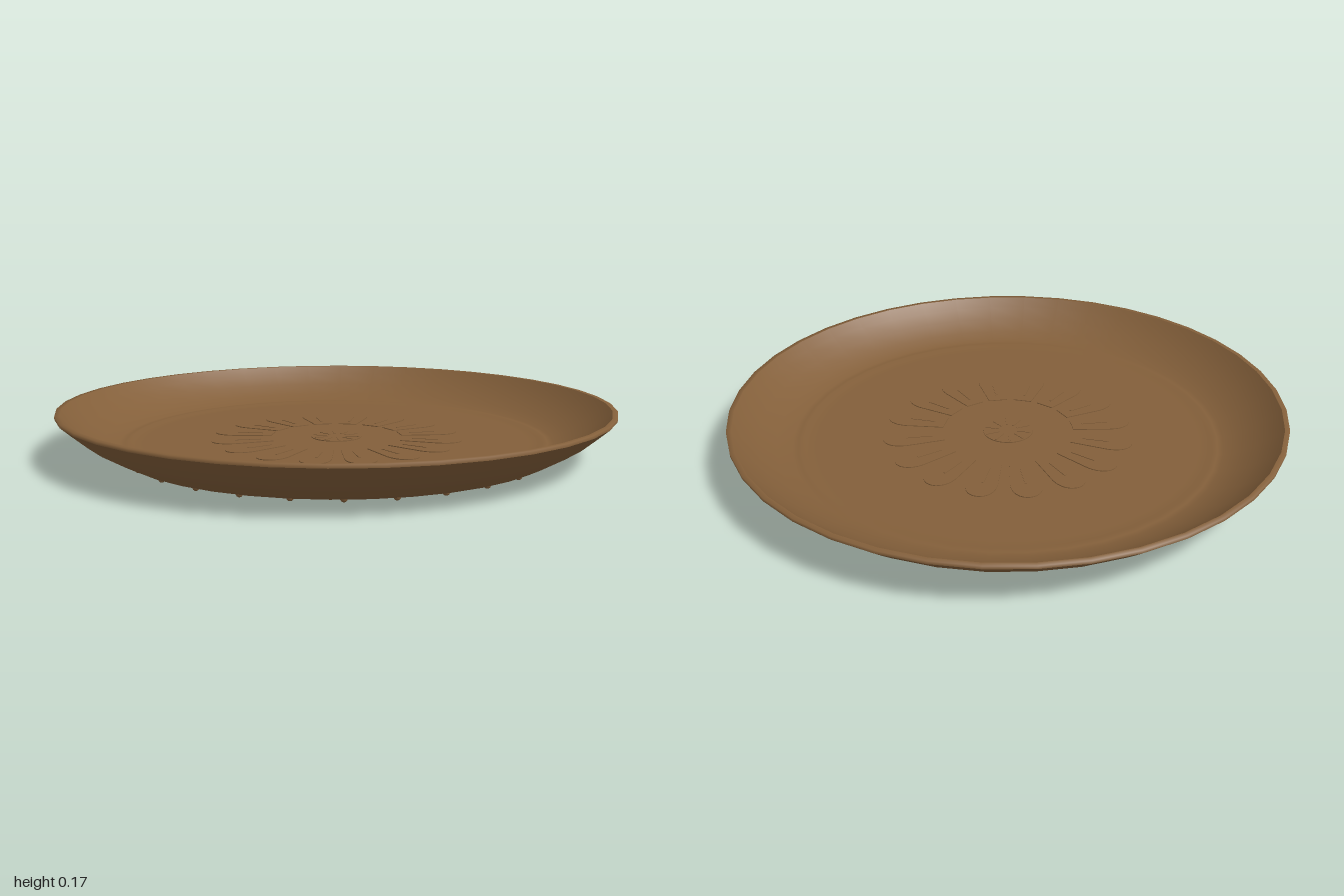
import * as THREE from 'three';

const clay = new THREE.MeshStandardMaterial({ color: 0x835f3a });
clay.name = 'brown clay';

const SIDES = 40;
const FLOOR = 0.04;

function add(parent, name, geometry) {
  const mesh = new THREE.Mesh(geometry, clay);
  mesh.name = name;
  parent.add(mesh);
  return mesh;
}

// Profile points are [radius, height], running anticlockwise around the section.
function turned(points) {
  return new THREE.LatheGeometry(points.map(([r, y]) => new THREE.Vector2(r, y)), SIDES);
}

// Long rounded petal lying on the floor, pointing along +x.
function petalGeometry() {
  const s = new THREE.Shape();
  s.moveTo(0.24, -0.035);
  s.lineTo(0.38, -0.054);
  s.bezierCurveTo(0.486, -0.06, 0.486, 0.06, 0.38, 0.054);
  s.lineTo(0.24, 0.035);
  s.closePath();
  const g = new THREE.ExtrudeGeometry(s, { depth: 0.003, bevelEnabled: false, curveSegments: 14 });
  return g.rotateX(-Math.PI / 2).translate(0, FLOOR, 0);
}

// Thin raised rib between two radii, pointing along +x.
function ribGeometry(r0, r1, y) {
  return new THREE.BoxGeometry(r1 - r0, 0.004, 0.007).translate((r0 + r1) / 2, y, 0);
}

// Repeat one geometry evenly around the centre.
function ring(parent, name, geometry, count) {
  const group = new THREE.Group();
  group.name = name + 'Ring';
  for (let i = 0; i < count; i++) {
    add(group, name, geometry).rotation.y = (i / count) * Math.PI * 2;
  }
  parent.add(group);
}

export function createModel() {
  const plate = new THREE.Group();
  plate.name = 'plate';

  // Dish: underside, lip and bowl, kept separate so the lip stays crisp
  add(plate, 'underside', turned([
    [0, 0.011], [0.7, 0.011], [0.79, 0.013], [0.83, 0.034], [0.91, 0.08], [0.96, 0.122], [1, 0.157],
  ]));
  add(plate, 'lip', turned([[1, 0.157], [1, 0.168], [0.983, 0.168]]));
  add(plate, 'bowl', turned([
    [0.983, 0.168], [0.95, 0.135], [0.9, 0.097], [0.84, 0.063], [0.785, 0.044],
    [0.765, 0.044], [0.75, 0.046], [0.735, 0.041], [0.7, FLOOR], [0, FLOOR],
  ]));

  // Tiny beads on the foot, one centred on the front
  const bead = new THREE.SphereGeometry(0.012, 10, 8).translate(0, 0.012, 0.77);
  ring(plate, 'footBead', bead, 30);

  // Flower relief
  ring(plate, 'petal', petalGeometry(), 16);
  ring(plate, 'petalRib', ribGeometry(0.28, 0.375, FLOOR + 0.003), 16);
  add(plate, 'flowerCentre', new THREE.CylinderGeometry(0.092, 0.092, 0.003, 32)
    .translate(0, FLOOR + 0.0015, 0));
  ring(plate, 'centreRib', ribGeometry(0.035, 0.085, FLOOR + 0.003), 10);

  return plate;
}
